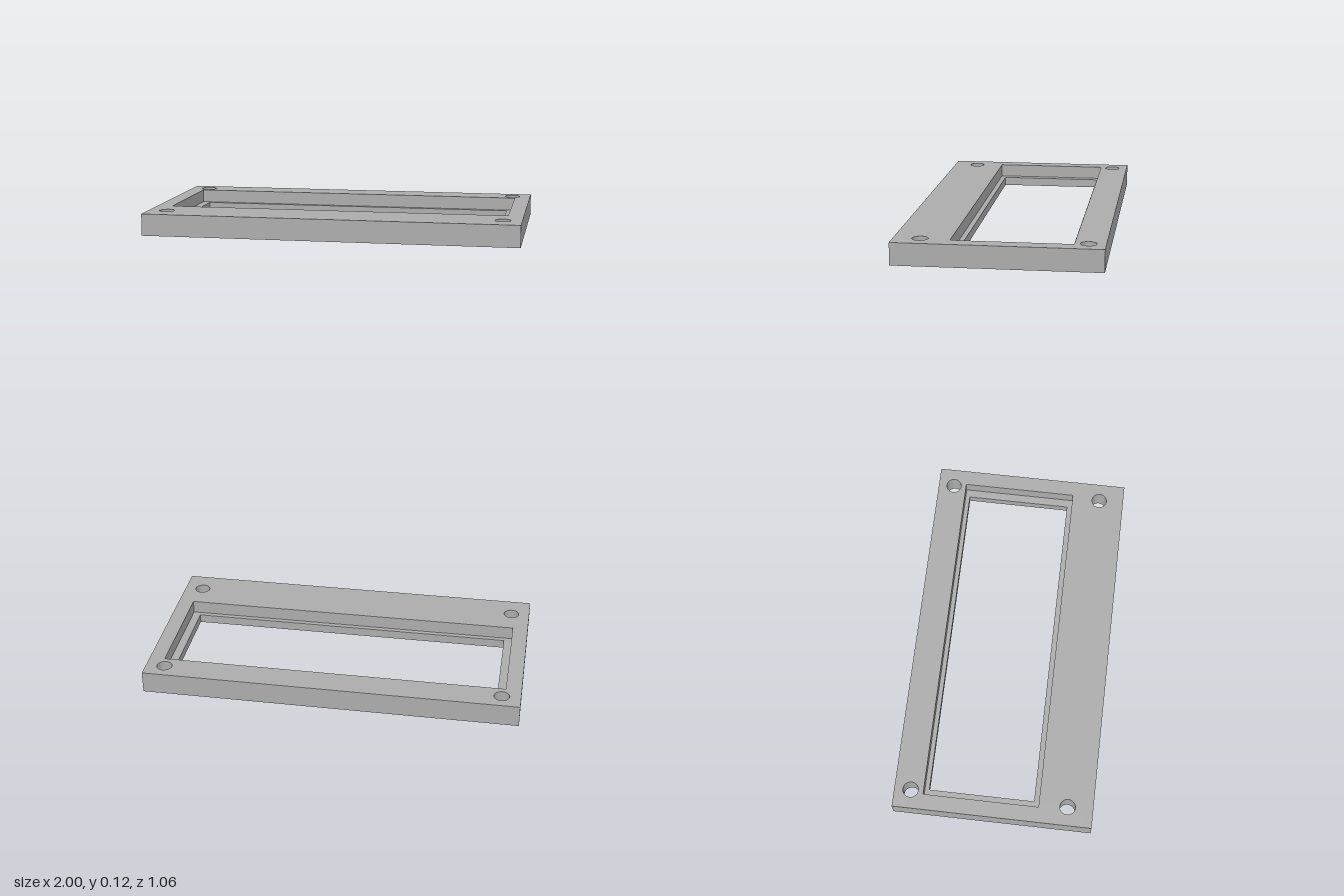
import * as THREE from 'three';
import { toCreasedNormals } from 'three/addons/utils/BufferGeometryUtils.js';

const HEIGHT = 0.117, LEDGE = 0.047;

// Adds a closed rectangle to a shape or path; shape y is the model's z
function rect(path, x, z0, z1) {
  path.moveTo(-x, z0);
  path.lineTo(x, z0);
  path.lineTo(x, z1);
  path.lineTo(-x, z1);
  path.closePath();
  return path;
}

export function createModel() {
  const model = new THREE.Group();
  model.name = 'bezelFrame';
  const grey = new THREE.MeshStandardMaterial({ color: 0xacacac });
  grey.name = 'grey';

  // One layer of the plate, with a window and four screw holes
  function layer(name, bottom, top, windowX, windowBack, windowFront) {
    const shape = rect(new THREE.Shape(), 1, -0.53, 0.53);
    shape.holes.push(rect(new THREE.Path(), windowX, windowBack, windowFront));
    for (const x of [-0.9, 0.9]) {
      for (const z of [-0.443, 0.394]) {
        shape.holes.push(new THREE.Path().absarc(x, z, 0.041, 0, Math.PI * 2, true));
      }
    }
    const extruded = new THREE.ExtrudeGeometry(shape, {
      depth: top - bottom, bevelEnabled: false, curveSegments: 32,
    });
    extruded.rotateX(Math.PI / 2).translate(0, top, 0);
    const mesh = new THREE.Mesh(toCreasedNormals(extruded, 0.6), grey);
    mesh.name = name;
    model.add(mesh);
  }

  // The smaller lower window leaves a ledge inside the upper one
  layer('lowerPlateWithLedge', 0, LEDGE, 0.873, -0.35, 0.214);
  layer('upperPlate', LEDGE, HEIGHT, 0.917, -0.374, 0.241);
  return model;
}
